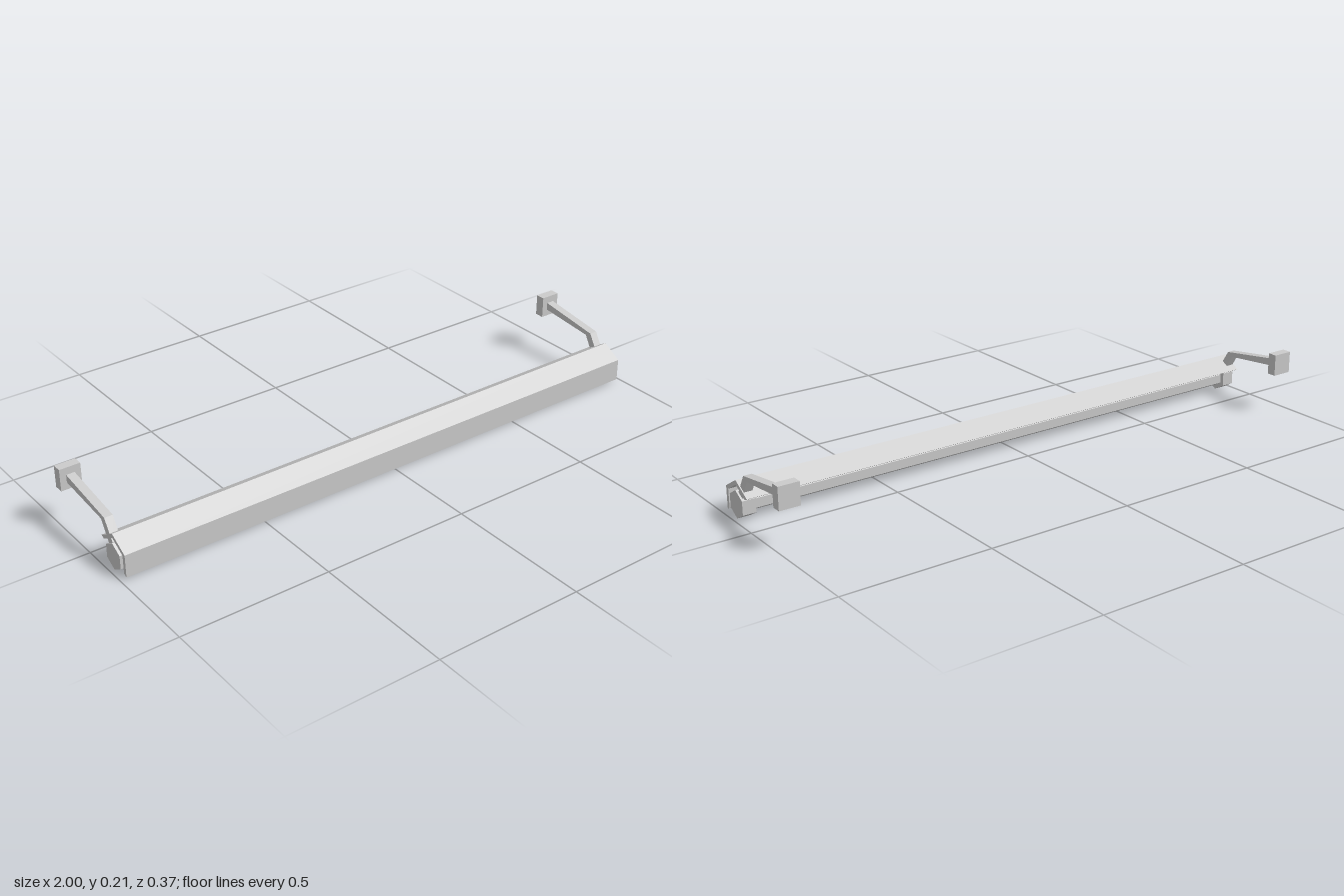
import * as THREE from 'three';

const material = new THREE.MeshStandardMaterial({ color: 0xcccccc, flatShading: true });

// Side profile of [z, y] points, extruded along x and centred on x = cx
function profile(name, points, width, cx = 0) {
  const shape = new THREE.Shape(points.map(([z, y]) => new THREE.Vector2(-z, y)));
  const geometry = new THREE.ExtrudeGeometry(shape, { depth: width, bevelEnabled: false });
  geometry.translate(0, 0, -width / 2).rotateY(Math.PI / 2).translate(cx, 0, 0);
  const mesh = new THREE.Mesh(geometry, material);
  mesh.name = name;
  return mesh;
}

// Hexagon with a corner at the top, around the lamp axis
function hexagon(radius) {
  return Array.from({ length: 6 }, (_, i) => {
    const a = (i * Math.PI) / 3;
    return [0.118 + radius * Math.sin(a), 0.0455 + radius * Math.cos(a)];
  });
}

export function createModel() {
  const model = new THREE.Group();
  model.name = 'wallLamp';

  // Folded hood: long front flap, peaked top, short open back
  model.add(profile('hood', [
    [0.184, 0.008], [0.184, 0.084], [0.118, 0.123], [0.051, 0.084],
    [0.064, 0.077], [0.118, 0.108], [0.171, 0.077], [0.171, 0.015],
  ], 1.965));

  // Tube between the end caps
  model.add(profile('tube', hexagon(0.03), 1.9));

  for (const [side, s] of [['left', 1], ['right', -1]]) {
    const bracket = new THREE.Group();
    bracket.name = side + 'Bracket';
    // End cap holding the tube
    bracket.add(profile('endCap', hexagon(0.0455), 0.045, s * 0.9625));
    // Bent arm from the cap to the wall
    bracket.add(profile('arm', [
      [0.112, 0.083], [0.071, 0.151], [-0.155, 0.185],
      [-0.155, 0.159], [0.05, 0.138], [0.089, 0.071],
    ], 0.028, s * 0.965));
    // Wall plate
    bracket.add(profile('wallPlate', [
      [-0.152, 0.135], [-0.152, 0.209], [-0.184, 0.209], [-0.184, 0.135],
    ], 0.07, s * 0.965));
    model.add(bracket);
  }
  return model;
}
